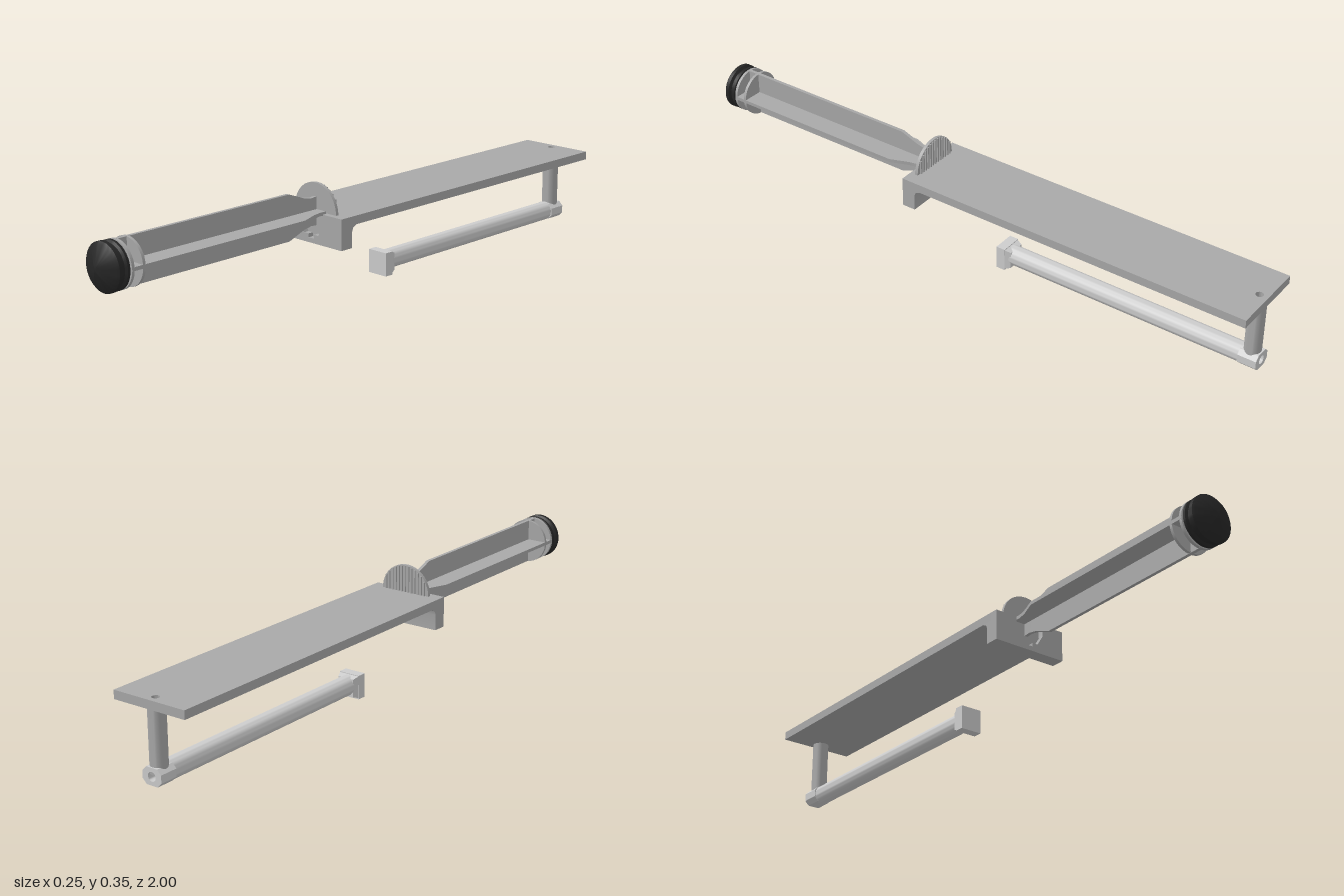
import * as THREE from 'three';
import { toCreasedNormals } from 'three/addons/utils/BufferGeometryUtils.js';

const AXIS_Y = 0.262; // height of the plunger axis
const BAR_Y = 0.042;  // height of the lower bar axis

export function createModel() {
  const model = new THREE.Group();
  const grey = new THREE.MeshStandardMaterial({ color: 0xa8a8a8 });
  grey.name = 'grey';
  const paleGrey = new THREE.MeshStandardMaterial({ color: 0xcccccc });
  paleGrey.name = 'paleGrey';
  const rubber = new THREE.MeshStandardMaterial({ color: 0x262626 });
  rubber.name = 'blackRubber';

  const add = (name, geometry, material, x = 0, y = 0, z = 0) => {
    const mesh = new THREE.Mesh(toCreasedNormals(geometry, 0.6), material);
    mesh.name = name;
    mesh.position.set(x, y, z);
    model.add(mesh);
    return mesh;
  };
  const polygon = (points) => new THREE.Shape(points.map(([x, y]) => new THREE.Vector2(x, y)));
  const extrude = (shape, depth) =>
    new THREE.ExtrudeGeometry(shape, { depth, bevelEnabled: false, curveSegments: 16 });
  const withHole = (shape, x, y, r) => {
    shape.holes.push(new THREE.Path().absarc(x, y, r, 0, Math.PI * 2, true));
    return shape;
  };
  const disc = (r, depth) => new THREE.CylinderGeometry(r, r, depth, 48).rotateX(Math.PI / 2);

  // Long flat plate with a small hole near the back
  const plate = withHole(polygon([[-0.127, -0.165], [0.127, -0.165], [0.127, 1], [-0.127, 1]]), 0, 0.972, 0.012);
  add('plate', extrude(plate, 0.027).rotateX(-Math.PI / 2), grey, 0, 0.235, 0);

  // Lip under the front of the plate, notched to hold the plunger
  const lip = polygon([
    [-0.127, 0.165], [0.127, 0.165], [0.127, 0.262], [0.05, 0.262], [0.05, 0.225], [0.03, 0.192],
    [0.011, 0.192], [0.011, 0.18], [-0.011, 0.18], [-0.011, 0.192], [-0.03, 0.192],
    [-0.05, 0.225], [-0.05, 0.262], [-0.127, 0.262],
  ]);
  add('lipFront', extrude(lip, 0.025), grey, 0, 0, 0.165);
  const lipBack = polygon([[0.145, 0.165], [0.165, 0.165], [0.165, 0.235], [0.125, 0.235], [0.14, 0.228], [0.145, 0.215]]);
  add('lipBack', extrude(lipBack, 0.254).rotateY(-Math.PI / 2), grey, 0.127, 0, 0);

  // Hollow post and corner fitting at the back
  const ring = withHole(new THREE.Shape().absarc(0, 0, 0.026, 0, Math.PI * 2, false), 0, 0, 0.012);
  add('post', extrude(ring, 0.19).rotateX(-Math.PI / 2), grey, 0, 0.045, -0.97);
  const fitting = withHole(polygon([
    [-0.02, -0.026], [0.02, -0.026], [0.034, -0.012], [0.034, 0.012],
    [0.02, 0.026], [-0.02, 0.026], [-0.034, 0.012], [-0.034, -0.012],
  ]), 0, 0, 0.014);
  add('cornerFitting', extrude(fitting, 0.06), paleGrey, 0, BAR_Y, -1);

  // Lower bar and square end block with a tapered neck
  const bar = new THREE.CylinderGeometry(0.031, 0.031, 0.83, 32).rotateX(Math.PI / 2);
  add('lowerBar', bar, paleGrey, 0, BAR_Y, -0.535);
  add('endBlock', new THREE.BoxGeometry(0.072, 0.076, 0.03), paleGrey, 0, 0.038, -0.115);
  const neck = new THREE.CylinderGeometry(0.05, 0.04, 0.02, 4).rotateY(Math.PI / 4).rotateX(Math.PI / 2);
  add('endBlockNeck', neck, paleGrey, 0, 0.039, -0.138);

  // Plunger rod: two crossed fins, narrowed towards the thumb disc
  const outline = [[0.165, 0.045], [0.195, 0.043], [0.225, 0.049], [0.285, 0.072], [0.93, 0.072]];
  const fin = polygon([...outline, ...outline.map(([z, r]) => [z, -r]).reverse()]);
  for (const turn of [0, Math.PI / 2]) {
    const geometry = extrude(fin, 0.011).rotateY(-Math.PI / 2).translate(0.0055, 0, 0).rotateZ(turn);
    add('plungerFin', geometry, grey, 0, AXIS_Y, 0);
  }
  for (const z of [0.888, 0.926]) add('plungerCollar', disc(0.072, 0.009), grey, 0, AXIS_Y, z);

  // Thumb disc with upright grip ribs on its back
  add('thumbDisc', disc(0.087, 0.01), grey, 0, AXIS_Y, 0.167);
  for (let i = -6; i <= 6; i++) {
    const x = i * 0.012;
    const height = Math.sqrt(0.085 ** 2 - x * x);
    add('gripRib', new THREE.BoxGeometry(0.005, height, 0.005), grey, x, AXIS_Y + height / 2, 0.16);
  }

  // Ribbed rubber plug with a conical tip
  const profile = [
    [0, 0.93], [0.064, 0.93], [0.072, 0.936], [0.072, 0.944], [0.065, 0.949],
    [0.065, 0.954], [0.073, 0.96], [0.073, 0.972], [0.066, 0.978], [0.012, 0.998], [0, 1],
  ].map(([r, z]) => new THREE.Vector2(r, z));
  add('rubberPlug', new THREE.LatheGeometry(profile, 48).rotateX(Math.PI / 2), rubber, 0, AXIS_Y, 0);

  return model;
}
